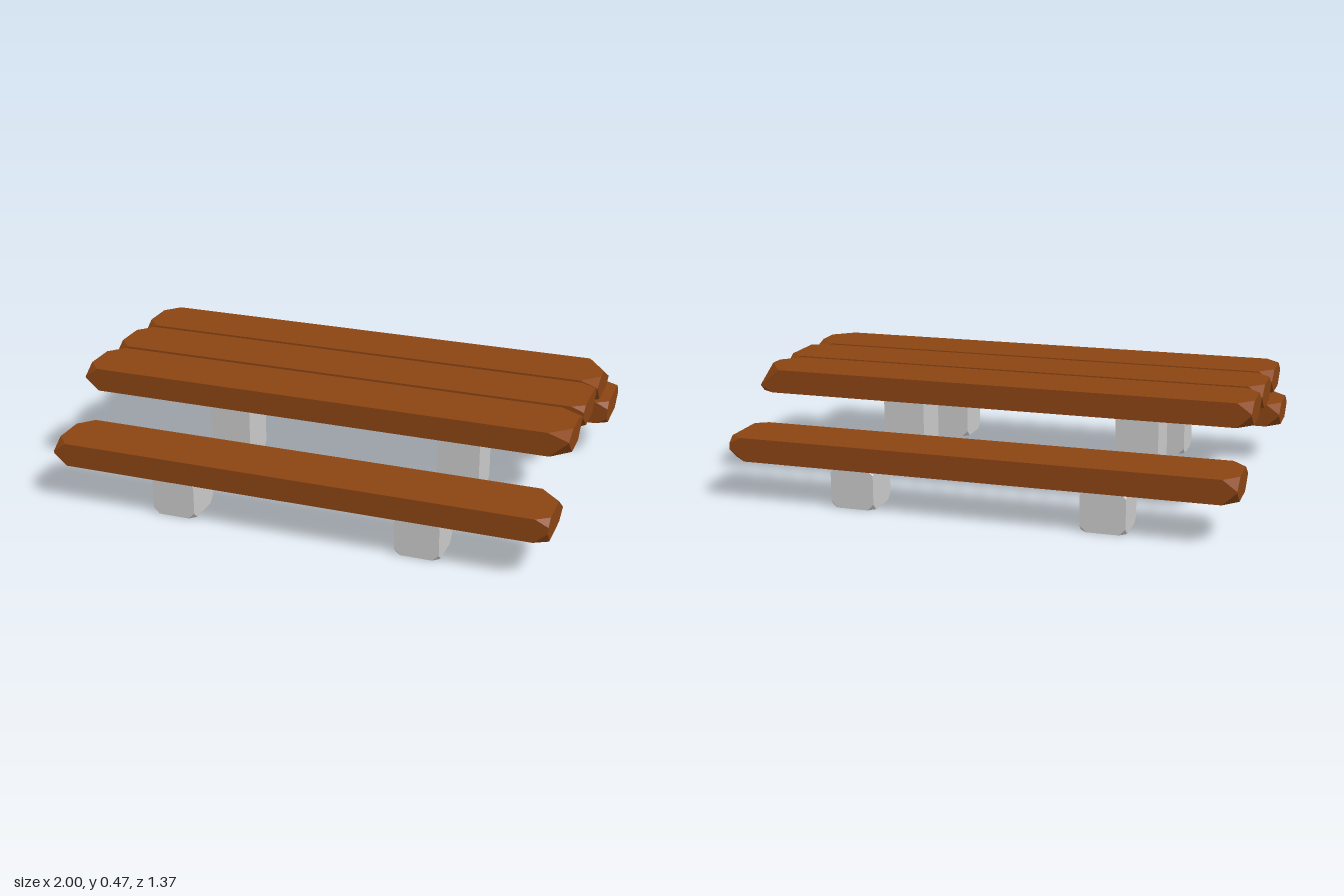
import * as THREE from 'three';
import { ConvexGeometry } from 'three/addons/geometries/ConvexGeometry.js';

const wood = new THREE.MeshStandardMaterial({ color: 0x8b4513, flatShading: true });
const stone = new THREE.MeshStandardMaterial({ color: 0xcccccc, flatShading: true });

// Box standing on y = 0 with every corner sliced off; cut(sx, top, sz) gives [dx, dy, dz]
function cutBox(w, h, d, cut) {
  const points = [];
  for (const sx of [-1, 1]) for (const top of [false, true]) for (const sz of [-1, 1]) {
    const [dx, dy, dz] = cut(sx, top, sz);
    const x = sx * w / 2, y = top ? h : 0, z = sz * d / 2;
    points.push(
      new THREE.Vector3(x - sx * dx, y, z),
      new THREE.Vector3(x, top ? y - dy : dy, z),
      new THREE.Vector3(x, y, z - sz * dz));
  }
  return new ConvexGeometry(points);
}

// Planks: name, base height, centre z, then the +x end cuts [dx, dy, dz]
// in the order front top, back top, front bottom, back bottom
const planks = [
  ['frontSeatPlank', 0.165, 0.56,
    [[0.05, 0.025, 0.035], [0.08, 0.06, 0.08], [0.055, 0.045, 0.03], [0.06, 0.03, 0.055]]],
  ['frontTablePlank', 0.375, 0.27,
    [[0.08, 0.028, 0.07], [0.08, 0.025, 0.08], [0.07, 0.065, 0.07], [0.07, 0.068, 0.07]]],
  ['middleTablePlank', 0.375, 0,
    [[0.05, 0.02, 0.03], [0.06, 0.025, 0.037], [0.06, 0.05, 0.06], [0.07, 0.066, 0.066]]],
  ['backTablePlank', 0.375, -0.27,
    [[0.07, 0.025, 0.07], [0.08, 0.065, 0.12], [0.07, 0.068, 0.062], [0.05, 0.028, 0.03]]],
  ['backSeatPlank', 0.165, -0.56,
    [[0.05, 0.025, 0.03], [0.05, 0.025, 0.03], [0.05, 0.025, 0.03], [0.06, 0.045, 0.055]]],
];

// Posts: name, height, centre z
const posts = [['frontSeatPost', 0.165, 0.56], ['tablePost', 0.375, 0], ['backSeatPost', 0.165, -0.56]];

export function createModel() {
  const group = new THREE.Group();
  const add = (name, geometry, material, x, y, z) => {
    const mesh = new THREE.Mesh(geometry, material);
    mesh.name = name;
    mesh.position.set(x, y, z);
    group.add(mesh);
  };

  // Rough-hewn planks
  for (const [name, y, z, cuts] of planks) {
    const cut = (sx, top, sz) => sx > 0
      ? cuts[(top ? 0 : 2) + (sz > 0 ? 0 : 1)]
      : [0.055, top ? 0.04 : 0.05, 0.06];
    add(name, cutBox(2, 0.095, 0.25, cut), wood, 0, y, z);
  }

  // Stone posts in two rows
  for (const [name, h, z] of posts) {
    for (const x of [-0.5, 0.5]) {
      add(name + (x > 0 ? 'Left' : 'Right'), cutBox(0.176, h, 0.176, () => [0.025, 0.025, 0.025]), stone, x, 0, z);
    }
  }
  return group;
}
